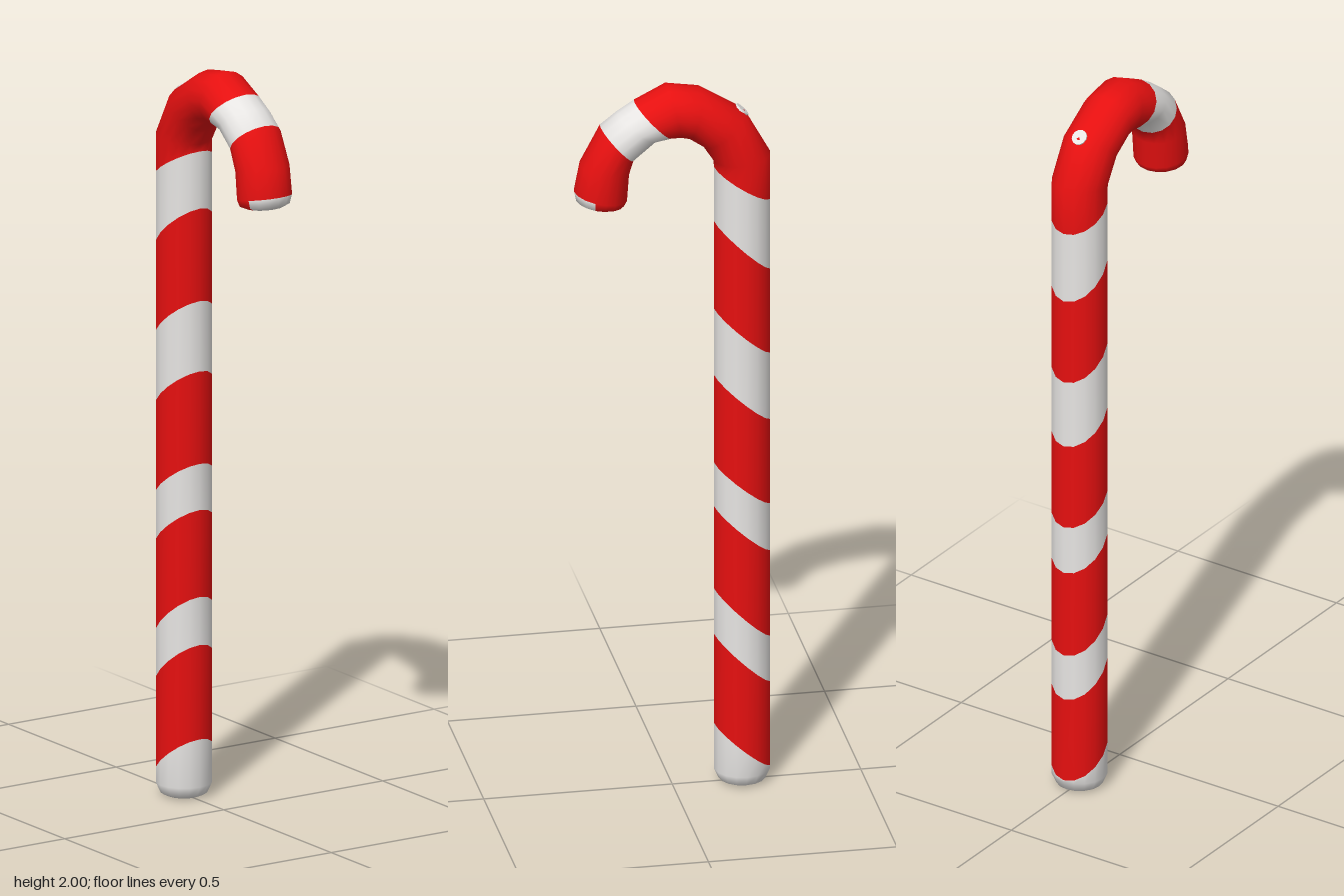
import * as THREE from 'three';

const SIDES = 16;
const R = 0.074;
const STEM_Z = -0.185;

export function createModel() {
  const red = new THREE.MeshStandardMaterial({ color: 0xe61010 });
  red.name = 'candy red';
  const white = new THREE.MeshStandardMaterial({ color: 0xe8e6e4 });
  white.name = 'sugar white';

  // Each section is a slanted ring: inner and outer point (z, y), half width in x,
  // and the colour of the band that leads up to it (0 red, 1 white).
  const sections = [];
  const ring = (iz, iy, oz, oy, colour, w = R) => sections.push({ iz, iy, oz, oy, colour, w });
  const stemRing = (front, back, colour, r = R) =>
    ring(STEM_Z + r, front, STEM_Z - r, back, colour, r);

  // Rounded foot
  stemRing(0, 0, 1, 0.045);
  stemRing(0.008, 0.008, 1, 0.062);
  stemRing(0.035, 0.035, 1, R);

  // Slanted stripes on the stem, starting with white
  [[0.165, 0.04], [0.42, 0.28], [0.55, 0.41], [0.785, 0.655], [0.91, 0.79],
    [1.16, 1.03], [1.35, 1.22], [1.6, 1.46], [1.755, 1.66]]
    .forEach(([front, back], i) => stemRing(front, back, i % 2 ? 0 : 1));

  // Bent hook
  ring(-0.109, 1.775, -0.259, 1.79, 0);
  ring(-0.08, 1.82, -0.192, 1.912, 0);
  ring(-0.04, 1.848, -0.075, 1.985, 0);
  ring(-0.02, 1.853, 0.015, 2.0, 0);
  ring(0.003, 1.855, 0.1, 1.957, 0);
  ring(0.045, 1.85, 0.145, 1.928, 1);
  ring(0.105, 1.8, 0.19, 1.893, 1);
  ring(0.115, 1.765, 0.245, 1.79, 0);
  ring(0.12, 1.69, 0.26, 1.715, 0);
  // Rounded tip, where the next white stripe just begins
  const tipStart = sections.length;
  ring(0.128, 1.675, 0.255, 1.69, 0, 0.068);
  ring(0.145, 1.671, 0.236, 1.678, 0, 0.05);

  const positions = [];
  for (const s of sections) {
    for (let j = 0; j < SIDES; j++) {
      const a = (j / SIDES) * Math.PI * 2;
      const t = (1 + Math.cos(a)) / 2;
      positions.push(
        Math.sin(a) * s.w,
        s.iy + (s.oy - s.iy) * t,
        s.iz + (s.oz - s.iz) * t
      );
    }
  }

  const faces = [[], []];
  const quad = (colour, a, b, c, d) => faces[colour].push(a, b, c, a, c, d);

  // Bands between neighbouring sections
  for (let i = 1; i < sections.length; i++) {
    for (let j = 0; j < SIDES; j++) {
      const k = (j + 1) % SIDES;
      const lo = (i - 1) * SIDES;
      const hi = i * SIDES;
      const nearFront = j < 3 || j >= SIDES - 3;
      const colour = i >= tipStart && nearFront ? 1 : sections[i].colour;
      quad(colour, lo + k, lo + j, hi + j, hi + k);
    }
  }

  // Flat ends, built as strips across the ring
  const last = (sections.length - 1) * SIDES;
  for (let j = 0; j < SIDES / 2; j++) {
    const p = [j, j + 1, SIDES - j - 1, (SIDES - j) % SIDES];
    quad(1, ...p);
    quad(j < 3 ? 1 : 0, ...p.map((v) => last + v).reverse());
  }

  const geometry = new THREE.BufferGeometry();
  geometry.setAttribute('position', new THREE.Float32BufferAttribute(positions, 3));
  geometry.setIndex([...faces[0], ...faces[1]]);
  geometry.addGroup(0, faces[0].length, 0);
  geometry.addGroup(faces[0].length, faces[1].length, 1);
  geometry.computeVertexNormals();

  const cane = new THREE.Mesh(geometry, [red, white]);
  cane.name = 'stripedCane';

  // Small white fleck on the back of the bend
  const fleck = new THREE.Mesh(new THREE.CylinderGeometry(0.021, 0.021, 0.006, 12), white);
  fleck.name = 'whiteFleck';
  fleck.position.set(0, 1.913, -0.185);
  fleck.rotation.x = -0.75;

  const model = new THREE.Group();
  model.name = 'candyCane';
  model.add(cane, fleck);
  return model;
}
